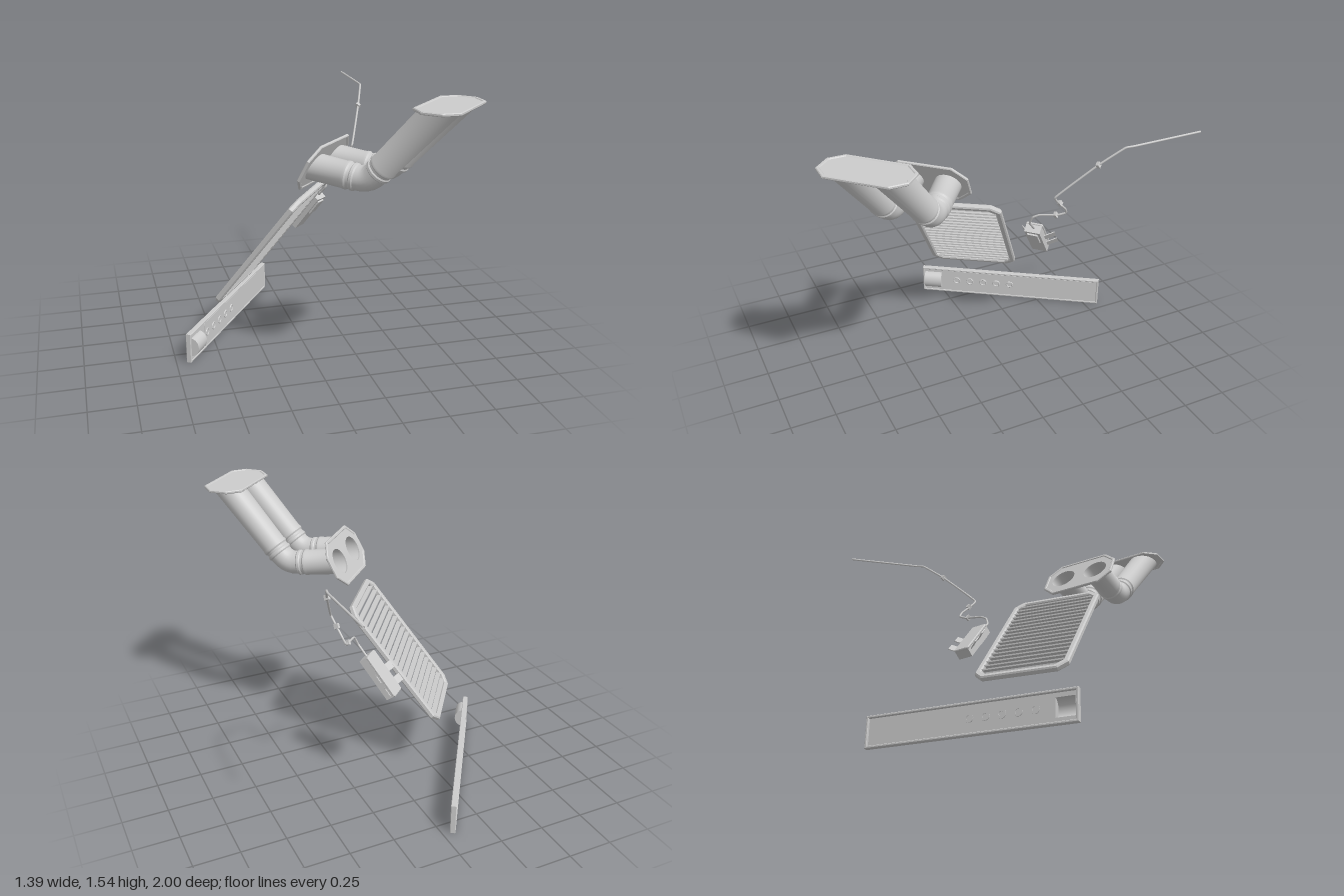
import * as THREE from 'three';
import { toCreasedNormals } from 'three/addons/utils/BufferGeometryUtils.js';

const V = (x, y, z) => new THREE.Vector3(x, y, z);
const mat = new THREE.MeshStandardMaterial({ color: 0xcccccc, side: THREE.DoubleSide });

function add(parent, name, geo, x = 0, y = 0, z = 0) {
  const m = new THREE.Mesh(geo, mat);
  m.name = name;
  m.position.set(x, y, z);
  parent.add(m);
  return m;
}

// group whose local x follows xDir and whose local z faces zDir
function frame(parent, name, origin, xDir, zDir) {
  const g = new THREE.Group();
  const x = xDir.clone().normalize();
  const y = zDir.clone().cross(x).normalize();
  g.quaternion.setFromRotationMatrix(new THREE.Matrix4().makeBasis(x, y, x.clone().cross(y)));
  g.position.copy(origin);
  g.name = name;
  parent.add(g);
  return g;
}

// rectangle with cut corners
function cutRect(w, h, c, Kind = THREE.Shape) {
  const a = w / 2, b = h / 2;
  return new Kind([[a, c - b], [a, b - c], [a - c, b], [c - a, b], [-a, b - c], [-a, c - b], [c - a, -b], [a - c, -b]]
    .map(([x, y]) => new THREE.Vector2(x, y)));
}

function circle(x, y, r) {
  const p = new THREE.Path();
  p.absarc(x, y, r, 0, Math.PI * 2, true);
  return p;
}

// extrusion centred on z = 0
function slab(shape, depth, holes = [], bevel = 0) {
  shape.holes.push(...holes);
  return new THREE.ExtrudeGeometry(shape, {
    depth: depth - 2 * bevel, curveSegments: 20, bevelEnabled: bevel > 0,
    bevelSize: bevel, bevelOffset: -bevel, bevelThickness: bevel, bevelSegments: 1,
  }).translate(0, 0, bevel - depth / 2);
}

// flange: thin plate with a thicker rim
function flange(g, w, h, c, holes) {
  add(g, 'flangePlate', slab(cutRect(w - 0.01, h - 0.01, c), 0.008, holes));
  add(g, 'flangeRim', slab(cutRect(w, h, c), 0.016, [cutRect(w - 0.036, h - 0.036, c - 0.01, THREE.Path)], 0.004));
}

// bent pipe from a to b through elbow e; its ends are cut by the planes na and nb
function duct(a, e, b, na, nb) {
  const d1 = e.clone().sub(a), d2 = b.clone().sub(e);
  const l1 = d1.length();
  d1.normalize();
  d2.normalize();
  const w = d1.clone().cross(d2).normalize();
  const N = 28, pos = [], idx = [];
  const ring = (p, d, n, r) => {
    const v = d.clone().cross(w);
    for (let i = 0; i < N; i++) {
      const t = i / N * Math.PI * 2;
      const q = w.clone().multiplyScalar(r * Math.cos(t)).addScaledVector(v, r * Math.sin(t));
      q.addScaledVector(d, -q.dot(n) / d.dot(n)).add(p);
      pos.push(q.x, q.y, q.z);
    }
  };
  // collar beads: distance from the elbow, radius
  const beads = [[0.13, 0.07], [0.122, 0.073], [0.11, 0.073], [0.102, 0.067], [0.09, 0.066], [0.083, 0.071], [0.071, 0.071], [0.064, 0.065]];
  ring(a, d1, na, 0.077);
  beads.forEach(([t, r]) => ring(a.clone().addScaledVector(d1, l1 - t), d1, d1, r));
  // rounded elbow
  const bend = new THREE.QuadraticBezierCurve3(e.clone().addScaledVector(d1, -0.06), e, e.clone().addScaledVector(d2, 0.06));
  for (let t = 0.2; t < 0.9; t += 0.2) {
    const d = bend.getTangent(t);
    ring(bend.getPoint(t), d, d, 0.065);
  }
  [...beads].reverse().forEach(([t, r]) => ring(e.clone().addScaledVector(d2, t), d2, d2, r));
  ring(b, d2, nb, 0.072);
  for (let j = 0; j < pos.length / 3 / N - 1; j++) {
    for (let i = 0; i < N; i++) {
      const p = j * N + i, q = j * N + (i + 1) % N;
      idx.push(p, q, p + N, q, q + N, p + N);
    }
  }
  const g = new THREE.BufferGeometry();
  g.setAttribute('position', new THREE.Float32BufferAttribute(pos, 3));
  g.setIndex(idx);
  return toCreasedNormals(g, 0.5);
}

function buildDucts(root) {
  const g = new THREE.Group();
  g.name = 'twinDuct';
  root.add(g);
  const up = V(0, 1, 0), back = V(-0.63, 0.47, -0.61).normalize();
  const topX = V(0.707, 0, -0.707), lowX = V(0.69, 0, -0.72);
  const top = V(0.498, 1.532, 0.805), low = V(0.03, 1.17, 0.325);
  flange(frame(g, 'upperFlange', top, topX, up), 0.455, 0.236, 0.066, []);
  flange(frame(g, 'lowerFlange', low, lowX, back), 0.445, 0.272, 0.075,
    [circle(-0.105, 0, 0.072), circle(0.105, 0, 0.072)]);
  for (const s of [-1, 1]) {
    const a = top.clone().addScaledVector(topX, s * 0.105);
    const b = low.clone().addScaledVector(lowX, s * 0.105);
    add(g, 'ductPipe', duct(a, V(0.26 + s * 0.078, 1.135, 0.52 - s * 0.08), b, up, back));
  }
}

function buildGrille(root) {
  const w = V(0.587, 0.03, -0.81), s = V(0.483, 0.79, 0.376);
  const g = frame(root, 'ventGrille', V(-0.183, 0.66, 0.035), w, w.clone().cross(s));
  const W = 0.52, L = 0.825;
  add(g, 'grilleFrame', slab(cutRect(W, L, 0.05), 0.032, [cutRect(W - 0.065, L - 0.065, 0.035, THREE.Path)], 0.007));
  // level louvres
  const count = 19;
  for (let i = 0; i < count; i++) {
    const y = (i - (count - 1) / 2) * (L - 0.1) / (count - 1);
    const cut = Math.max(0, Math.abs(y) - 0.345);
    add(g, 'louvre', new THREE.BoxGeometry(W - 0.05 - 2 * cut, 0.008, 0.028), 0, y, 0).rotation.x = -0.66;
  }
}

function buildPanel(root) {
  const g = frame(root, 'controlPanel', V(-0.367, 0.086, -0.363), V(0.555, 0, -0.832), V(0.832, 0, 0.555));
  const L = 1.134, H = 0.172;
  const rect = (w, h, Kind, x = 0) => new Kind([[-1, -1], [1, -1], [1, 1], [-1, 1]]
    .map(([a, b]) => new THREE.Vector2(x + a * w / 2, b * h / 2)));
  add(g, 'panelFace', slab(rect(L - 0.01, H - 0.01, THREE.Shape), 0.012,
    [rect(0.1, 0.1, THREE.Path, -0.497)]), 0, 0, 0.006);
  add(g, 'panelRim', slab(rect(L, H, THREE.Shape), 0.03, [rect(L - 0.026, H - 0.026, THREE.Path)], 0.003));
  // label area
  add(g, 'labelArea', slab(cutRect(0.935, 0.145, 0.01), 0.004), 0.083, 0, 0.012);
  // button bezels on the front, with their stubs behind
  for (let i = 0; i < 5; i++) {
    const bezel = new THREE.LatheGeometry([[0.014, -0.004], [0.024, -0.004], [0.024, 0.014], [0.021, 0.018],
      [0.017, 0.018], [0.014, 0.014], [0.014, -0.004]].map(p => new THREE.Vector2(...p)), 20);
    add(g, 'buttonBezel', toCreasedNormals(bezel.rotateX(Math.PI / 2), 0.6), -0.345 + i * 0.086, 0.005, 0);
  }
  // hollow half-round thumb wheel
  const wheel = new THREE.CylinderGeometry(0.054, 0.054, 0.108, 28, 1, false, 0, Math.PI);
  wheel.rotateZ(Math.PI / 2).rotateX(Math.PI / 2);
  wheel.computeBoundingBox();
  if (wheel.boundingBox.max.z < 0.03) wheel.rotateX(Math.PI);
  add(g, 'thumbWheel', wheel, -0.497, 0.003, 0.01).scale.z = 0.85;
}

function buildSwitch(root) {
  const w = V(0.73, 0, -0.68), s = V(0.415, 0.79, 0.45);
  const g = frame(root, 'sensorBox', V(0.107, 0.712, -0.286), w, w.clone().cross(s));
  add(g, 'boxBody', new THREE.BoxGeometry(0.09, 0.255, 0.056));
  add(g, 'boxLid', slab(cutRect(0.1, 0.262, 0.008), 0.014, [], 0.004), 0, 0, -0.026);
  add(g, 'boxCover', new THREE.BoxGeometry(0.06, 0.1, 0.016), 0, 0.06, 0.03);
  // spring tabs on both sides, bent backwards
  for (const side of [-1, 1]) {
    for (const y of [0.005, -0.08]) {
      add(g, 'springTab', new THREE.BoxGeometry(0.068, 0.045, 0.005), side * 0.068, y, -0.022).rotation.y = side * 0.6;
    }
  }
}

function buildCable(root) {
  const g = new THREE.Group();
  g.name = 'cable';
  root.add(g);
  const pts = [[0.16, 0.81, -0.235], [0.19, 0.87, -0.19], [0.212, 0.915, -0.195], [0.235, 0.935, -0.225],
    [0.3, 0.95, -0.3], [0.325, 0.968, -0.335], [0.337, 1, -0.322], [0.365, 1.1, -0.24],
    [0.46, 1.29, -0.43], [0.51, 1.382, -0.55], [0.522, 1.388, -0.6], [0.53, 1.395, -0.998]].map(p => V(...p));
  const curve = new THREE.CatmullRomCurve3(pts, false, 'catmullrom', 0.15);
  add(g, 'cableLine', new THREE.TubeGeometry(curve, 160, 0.006, 8));
  // cable clips
  for (const [x, y, z] of [[0.295, 0.95, -0.29], [0.35, 1.05, -0.28], [0.46, 1.29, -0.43]]) {
    const clip = add(g, 'cableClip', new THREE.BoxGeometry(0.016, 0.026, 0.026), x, y, z);
    clip.rotation.set(0.6, 0.6, 0);
  }
}

export function createModel() {
  const root = new THREE.Group();
  root.name = 'ventilationParts';
  buildDucts(root);
  buildGrille(root);
  buildPanel(root);
  buildSwitch(root);
  buildCable(root);
  return root;
}
